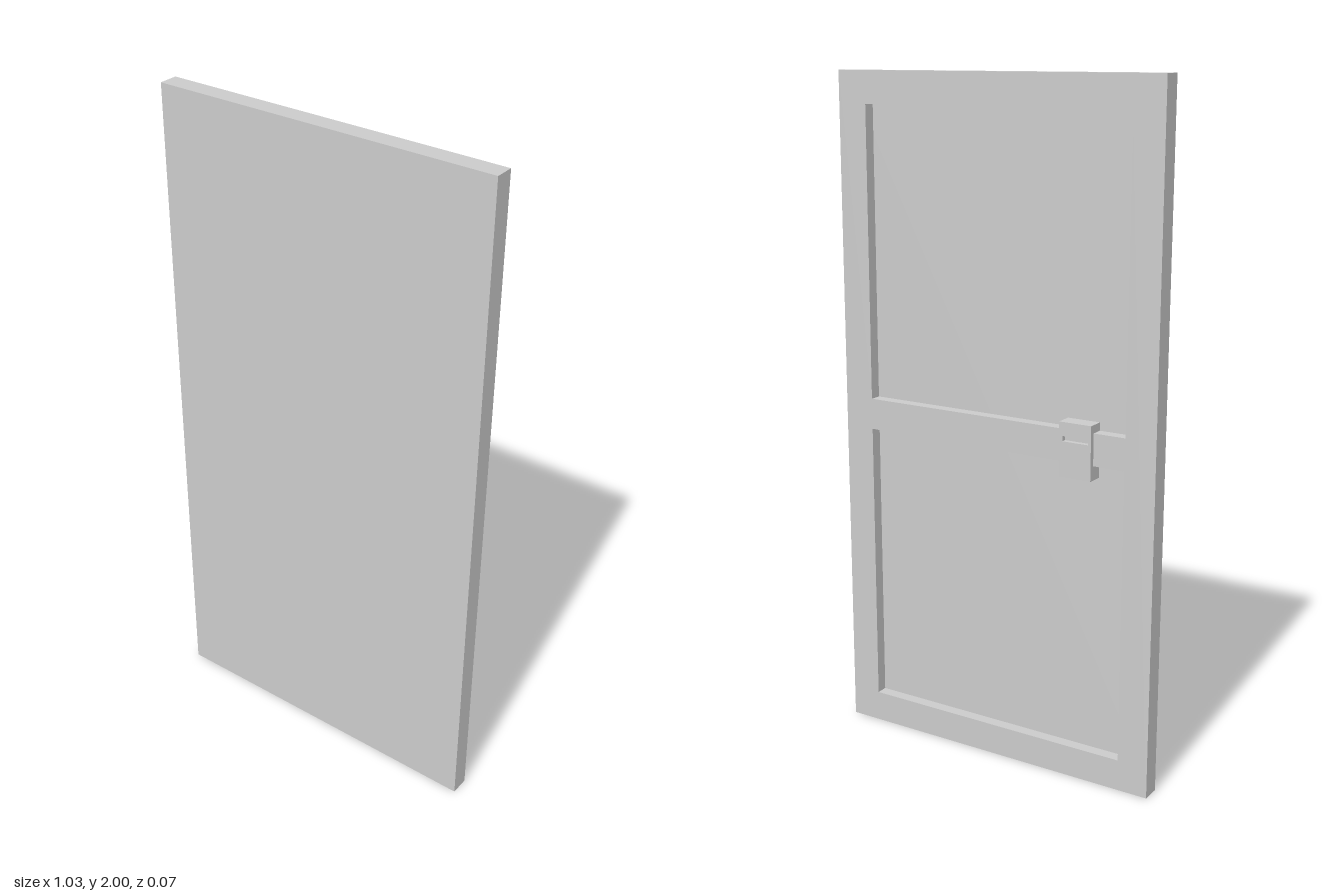
import * as THREE from 'three';

const W = 1.035, H = 2;              // door leaf
const FRONT = 0.036, BACK = -0.021;  // leaf faces in z
const FLOOR = 0.014;                 // depth of the recessed panels
const BORDER = 0.093;                // width of stiles and rails

// Adds a rectangle to a shape or path
function rect(path, x0, y0, x1, y1) {
  path.moveTo(x0, y0);
  path.lineTo(x1, y0);
  path.lineTo(x1, y1);
  path.lineTo(x0, y1);
  path.closePath();
  return path;
}

// Flat plate with rectangular openings, spanning z0 to z1
function plate(name, outer, holes, z0, z1, material) {
  const shape = rect(new THREE.Shape(), ...outer);
  for (const h of holes) shape.holes.push(rect(new THREE.Path(), ...h));
  const geometry = new THREE.ExtrudeGeometry(shape, { depth: z1 - z0, bevelEnabled: false });
  geometry.translate(0, 0, z0);
  const mesh = new THREE.Mesh(geometry, material);
  mesh.name = name;
  return mesh;
}

export function createModel() {
  const door = new THREE.Group();
  door.name = 'door';
  const material = new THREE.MeshStandardMaterial({ color: 0xcccccc });
  const leaf = [-W / 2, 0, W / 2, H];
  const inner = W / 2 - BORDER;

  // Plain front skin, whose back forms the floor of both recesses
  door.add(plate('frontPanel', leaf, [], FLOOR, FRONT, material));

  // Stiles and rails around two recessed panels
  door.add(plate('frame', leaf, [
    [-inner, BORDER, inner, H / 2 - BORDER / 2],
    [-inner, H / 2 + BORDER / 2, inner, H - BORDER],
  ], BACK, FLOOR, material));

  // Lock box across the middle rail, with a slot near its top
  const lock = new THREE.Group();
  lock.name = 'lock';
  const box = [-0.328, 0.912, -0.228, 1.07];
  const slot = [-0.319, 1.015, -0.239, 1.03];
  lock.add(plate('lockCover', box, [slot], -0.036, -0.016, material));
  lock.add(plate('lockBody', box, [], -0.016, FLOOR, material));
  door.add(lock);

  return door;
}
